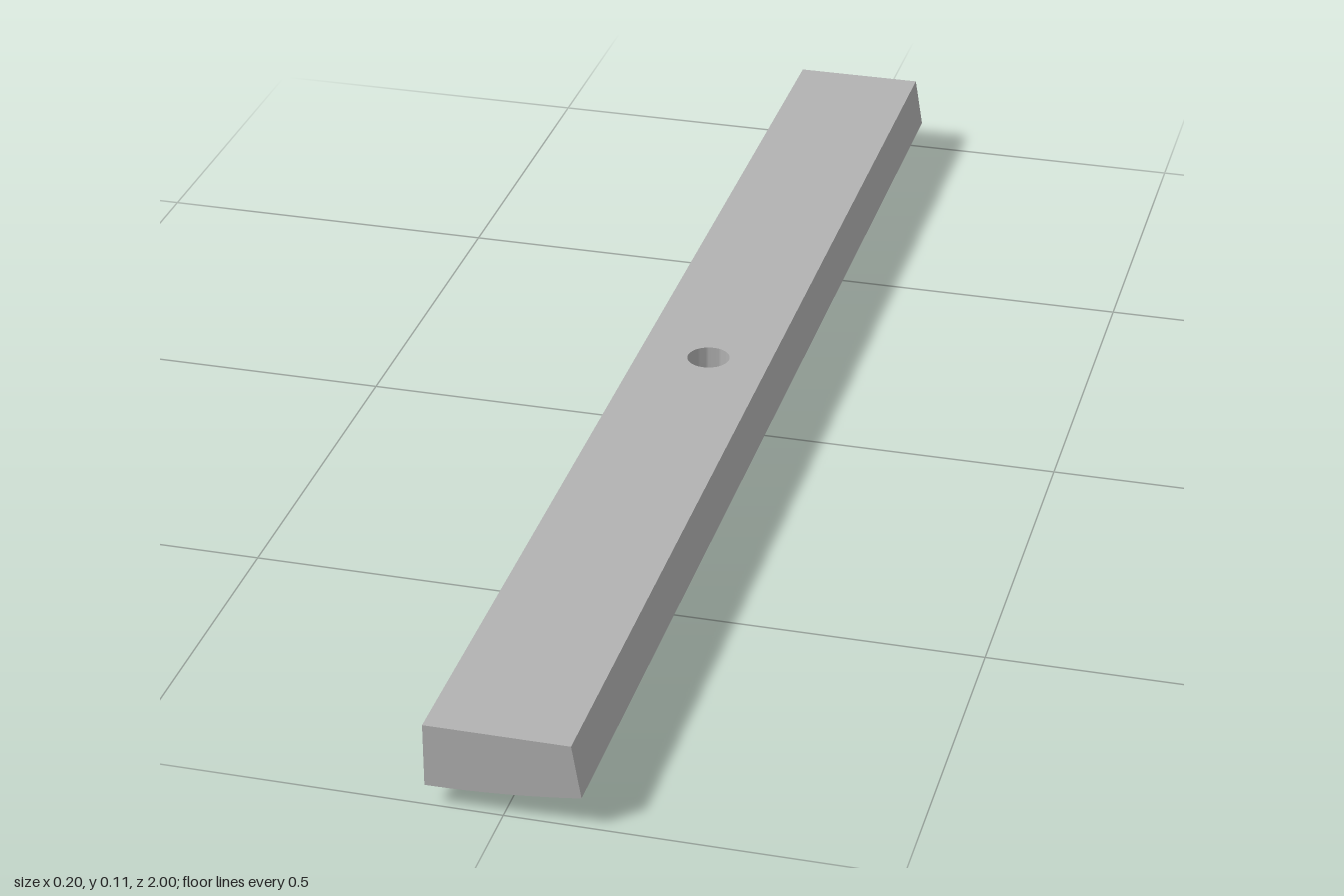
import * as THREE from 'three';
import { toCreasedNormals } from 'three/addons/utils/BufferGeometryUtils.js';

const TOP = 0.115, HOLE = 0.03, MID = 0.1;
const bottomY = (x) => 0.028 + 0.014 * ((x + 0.1) / 0.2) ** 2;

export function createModel() {
  const group = new THREE.Group();
  const grey = new THREE.MeshStandardMaterial({ color: 0xb2b2b2 });
  const add = (geometry, name) => {
    const mesh = new THREE.Mesh(toCreasedNormals(geometry, 0.5), grey);
    mesh.name = name;
    group.add(mesh);
  };

  // Bar ends: slanted side and gently curved underside
  const profile = new THREE.Shape();
  profile.moveTo(0.088, TOP);
  profile.lineTo(-0.1, TOP);
  for (let i = 0; i <= 12; i++) {
    const x = -0.1 + (0.2 * i) / 12;
    profile.lineTo(x, bottomY(x));
  }
  profile.closePath();
  for (const z of [-1, MID]) {
    const end = new THREE.ExtrudeGeometry(profile, { depth: 1 - MID, bevelEnabled: false });
    end.translate(0, 0, z);
    add(end, z < 0 ? 'backBar' : 'frontBar');
  }

  // Middle block: loops run up the round hole, across the top and back underneath
  const N = 48;
  const point = (angle, blend, isTop) => {
    const c = Math.cos(angle), s = Math.sin(angle);
    const k = MID / Math.max(Math.abs(c), Math.abs(s));
    let sx = c * k;
    if (isTop) sx = -0.1 + (sx + 0.1) * 0.94;
    const x = THREE.MathUtils.lerp(c * HOLE, sx, blend);
    const z = THREE.MathUtils.lerp(s * HOLE, s * k, blend);
    return [x, isTop ? TOP : bottomY(x), z];
  };
  const loops = [[0, false], [0, true], [1, true], [1, false], [0.75, false], [0.5, false], [0.25, false], [0, false]];
  const positions = [], indices = [];
  loops.forEach(([blend, isTop], k) => {
    for (let i = 0; i < N; i++) {
      positions.push(...point((i / N) * Math.PI * 2, blend, isTop));
      if (k === loops.length - 1) continue;
      const a = k * N + i, b = k * N + ((i + 1) % N);
      indices.push(a, b, a + N, b, b + N, a + N);
    }
  });
  const middle = new THREE.BufferGeometry();
  middle.setAttribute('position', new THREE.Float32BufferAttribute(positions, 3));
  middle.setIndex(indices);
  middle.computeVertexNormals();
  add(middle, 'drilledMiddle');

  // Raised details hang below the curved underside and follow it
  const drape = (geometry, name) => {
    const p = geometry.attributes.position;
    for (let i = 0; i < p.count; i++) p.setY(i, p.getY(i) + bottomY(p.getX(i)));
    geometry.computeVertexNormals();
    add(geometry, name);
  };
  const rib = (x, z, length, turn = 0) => {
    const g = new THREE.BoxGeometry(length, 0.031, 0.013);
    g.rotateY(turn);
    g.translate(x, -0.0125, z);
    drape(g, 'rib');
  };
  const arc = (x, z, radius, start, end) => {
    const shape = new THREE.Shape();
    shape.absarc(0, 0, radius, start, end, false);
    shape.absarc(0, 0, radius - 0.012, end, start, true);
    const g = new THREE.ExtrudeGeometry(shape, { depth: 0.031, bevelEnabled: false, curveSegments: 20 });
    g.rotateX(Math.PI / 2);
    g.translate(x, 0.003, z);
    drape(g, 'curvedRidge');
  };
  const PI = Math.PI;

  // Single ribs and short pegs
  rib(-0.002, 0.57, 0.048);
  rib(-0.002, -0.43, 0.048);
  rib(-0.02, 0.18, 0.018);
  rib(-0.003, -0.82, 0.016);
  rib(-0.03, -0.82, 0.016);

  // Front cluster
  rib(-0.04, 0.348, 0.08);
  arc(-0.055, 0.385, 0.028, -PI * 0.6, PI * 0.75);
  arc(-0.03, 0.418, 0.024, -PI * 0.3, PI);

  // Centre cluster
  rib(-0.016, -0.15, 0.095, 1.25);
  arc(-0.054, -0.122, 0.03, 0, PI * 1.999);

  // Back cluster
  rib(-0.04, -0.655, 0.08);
  arc(-0.054, -0.612, 0.029, 0, PI * 1.999);
  rib(-0.01, -0.6, 0.03);

  return group;
}
